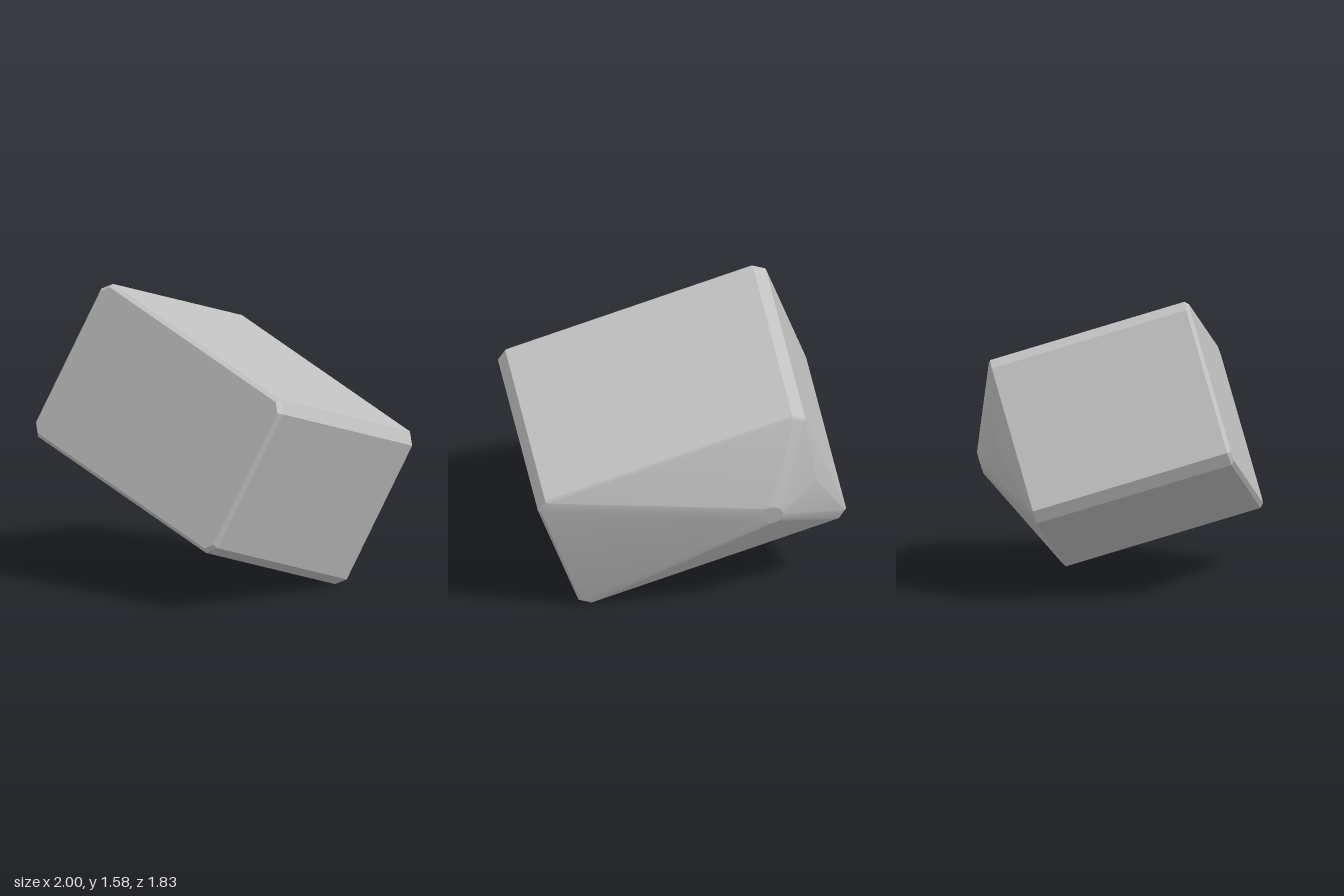
import * as THREE from 'three';
import { ConvexGeometry } from 'three/addons/geometries/ConvexGeometry.js';
import { toCreasedNormals } from 'three/addons/utils/BufferGeometryUtils.js';

const grey = new THREE.MeshStandardMaterial({ color: 0xc0c0c0 });
grey.name = 'grey';

// Block cross-section limits and its corner chamfer
const X0 = -1.0, X1 = 0.503, Y0 = 0.258, Y1 = 1.174, CHAMFER = 0.057;
const MID_Y = (Y0 + Y1) / 2;

// Chamfered rectangle at depth z, shrunk by inset
function section(inset, z) {
  const c = CHAMFER - inset * 0.586;
  const points = [];
  for (const [x, sx] of [[X0 + inset, 1], [X1 - inset, -1]]) {
    for (const [y, sy] of [[Y0 + inset, 1], [Y1 - inset, -1]]) {
      points.push(new THREE.Vector3(x + sx * c, y, z), new THREE.Vector3(x, y + sy * c, z));
    }
  }
  return points;
}

// Round flat tip of the bulging end
function disc(x, y, z, radius, sides) {
  return Array.from({ length: sides }, (_, i) => {
    const a = (i / sides) * Math.PI * 2;
    return new THREE.Vector3(x + radius * Math.cos(a), y + radius * Math.sin(a), z);
  });
}

export function createModel() {
  const group = new THREE.Group();
  group.name = 'tiltedBlock';

  const points = [
    ...section(0.02, 0.803), // flat end face
    ...section(0, 0.783), // bevel around the flat end
    ...section(0, -0.293), // rim of the bulging end
    ...section(0.014, -0.305),
    new THREE.Vector3(-0.93, MID_Y, -0.387), // end of the ridge near the short side
    ...disc(-0.65, MID_Y, -0.51, 0.063, 32), // off-centre round tip
  ];
  const block = new THREE.Mesh(toCreasedNormals(new ConvexGeometry(points), 0.3), grey);
  block.name = 'block';

  // Turn about the upright axis, then lean to the side
  block.rotation.set(0, THREE.MathUtils.degToRad(-42.7), THREE.MathUtils.degToRad(-25.6), 'ZYX');
  group.add(block);
  return group;
}
